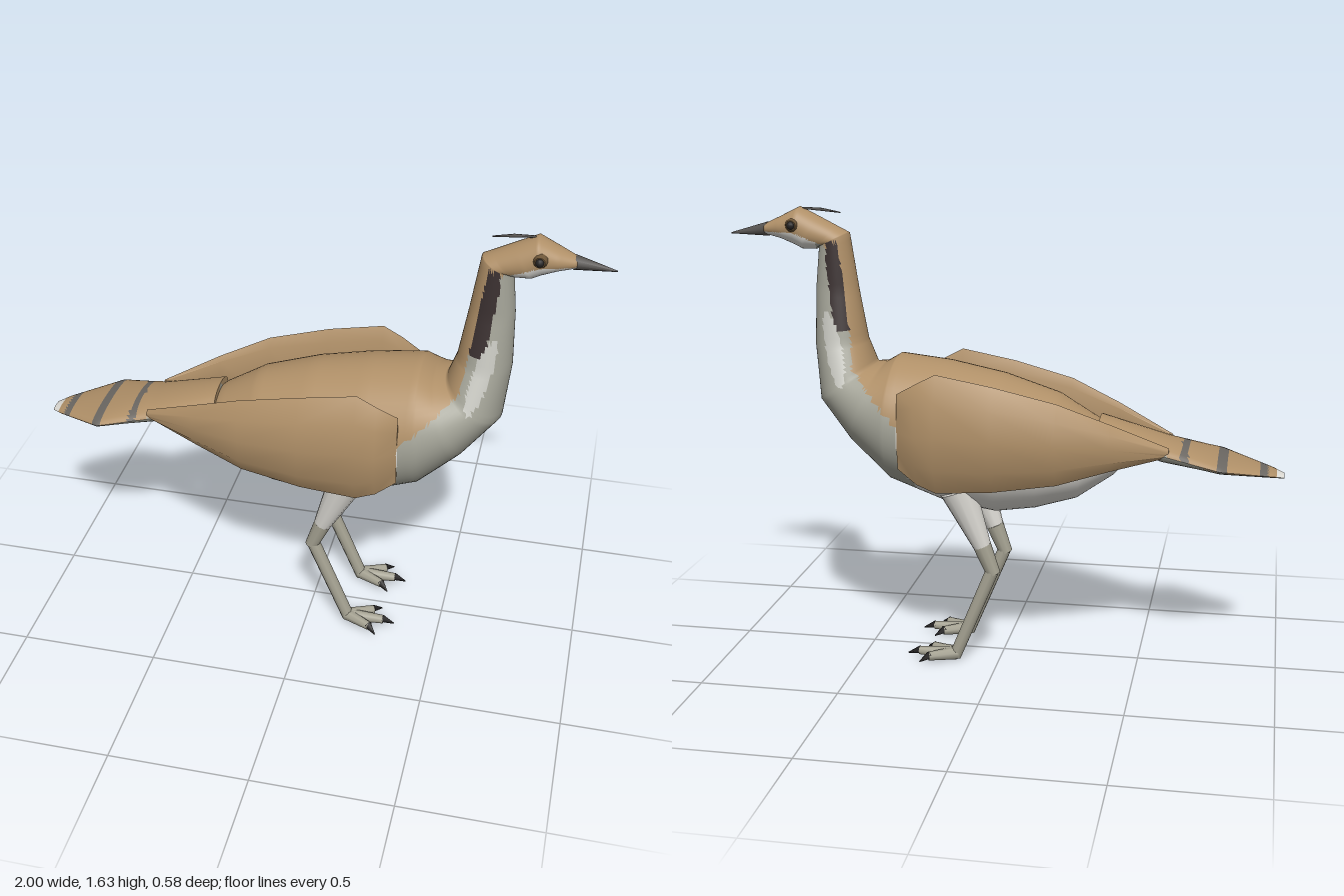
import * as THREE from 'three';
import { toCreasedNormals } from 'three/addons/utils/BufferGeometryUtils.js';

const mat = (name, color) => {
  const m = new THREE.MeshStandardMaterial({ color });
  m.name = name;
  return m;
};

// Skin over a list of closed rings, capped at both ends; pick(x, y, z) chooses each face's material
function loft(name, rings, mats, pick = () => 0, crease = 0) {
  const n = rings[0].length, pos = [], buckets = mats.map(() => []);
  rings.forEach(r => r.forEach(p => pos.push(...p)));
  const at = i => new THREE.Vector3().fromArray(pos, i * 3);
  const tris = [];
  for (let i = 0; i < rings.length - 1; i++) for (let j = 0; j < n; j++) {
    const a = i * n + j, b = i * n + (j + 1) % n, c = a + n, d = b + n;
    tris.push([a, b, c], [b, d, c]);
  }
  const last = (rings.length - 1) * n;
  for (let j = 1; j < n - 1; j++) tris.push([0, j + 1, j], [last, last + j, last + j + 1]);
  // outward winding from the signed volume
  let vol = 0;
  tris.forEach(t => { vol += at(t[0]).dot(at(t[1]).cross(at(t[2]))); });
  tris.forEach(t => {
    const c = at(t[0]).add(at(t[1])).add(at(t[2])).divideScalar(3);
    buckets[pick(c.x, c.y, c.z)].push(...(vol > 0 ? t : [t[0], t[2], t[1]]));
  });
  let g = new THREE.BufferGeometry();
  g.setAttribute('position', new THREE.Float32BufferAttribute(pos, 3));
  g.setIndex(buckets.flat());
  let start = 0;
  buckets.forEach((b, k) => { if (b.length) g.addGroup(start, b.length, k); start += b.length; });
  if (crease) g = toCreasedNormals(g, crease);
  else g.computeVertexNormals();
  const mesh = new THREE.Mesh(g, mats);
  mesh.name = name;
  return mesh;
}

// Oval ring from its top point, bottom point and half width
const oval = ([tx, ty, bx, by, w], n) => Array.from({ length: n }, (_, j) => {
  const a = j / n * Math.PI * 2, c = Math.cos(a);
  return [(tx + bx) / 2 + (tx - bx) / 2 * c, (ty + by) / 2 + (ty - by) / 2 * c, w * Math.sin(a)];
});

// Straight subdivision between sections
function subdivide(sections, k) {
  const out = [];
  for (let i = 0; i < sections.length - 1; i++) for (let s = 0; s < k; s++)
    out.push(sections[i].map((v, q) => v + (sections[i + 1][q] - v) * s / k));
  out.push(sections[sections.length - 1]);
  return out;
}

// Tapered round piece between two points
function limb(name, a, b, ra, rb, material, sides = 10) {
  const A = new THREE.Vector3(...a), B = new THREE.Vector3(...b);
  const d = B.clone().sub(A);
  const m = new THREE.Mesh(new THREE.CylinderGeometry(rb, ra, d.length(), sides), material);
  m.position.copy(A).add(B).multiplyScalar(0.5);
  m.quaternion.setFromUnitVectors(new THREE.Vector3(0, 1, 0), d.normalize());
  m.name = name;
  return m;
}

export function createModel() {
  const bird = new THREE.Group();
  bird.name = 'bird';
  const tan = mat('tan plumage', 0xb09068), grey = mat('grey plumage', 0xa4a498);
  const white = mat('white belly', 0xdedcd6), dark = mat('dark neck stripe', 0x3a3030);
  const pale = mat('pale neck patch', 0xc9c9c2), beakMat = mat('beak grey', 0x55524f);
  const band = mat('tail band', 0x6b6762), legMat = mat('leg', 0xa5a292);
  const black = mat('claw black', 0x262424), eyeBrown = mat('eye rim', 0x6e5638);

  // Body, neck and head in one skin
  const bodySections = [
    [-0.44, 0.79, -0.44, 0.75, 0.02], [-0.42, 0.84, -0.40, 0.71, 0.09],
    [-0.34, 0.91, -0.27, 0.62, 0.165], [-0.2, 0.995, -0.12, 0.575, 0.205],
    [0, 1.06, 0.02, 0.555, 0.23], [0.2, 1.1, 0.2, 0.585, 0.245],
    [0.38, 1.12, 0.4, 0.66, 0.238], [0.43, 1.09, 0.55, 0.8, 0.205],
    [0.47, 1.085, 0.67, 0.95, 0.155], [0.5, 1.17, 0.69, 1.15, 0.105],
    [0.53, 1.35, 0.685, 1.35, 0.072], [0.56, 1.55, 0.67, 1.5, 0.06],
    [0.6, 1.57, 0.68, 1.49, 0.06], [0.67, 1.605, 0.73, 1.49, 0.066],
    [0.74, 1.64, 0.76, 1.505, 0.065], [0.81, 1.605, 0.81, 1.525, 0.05],
    [0.87, 1.577, 0.87, 1.54, 0.025]
  ];
  const plumage = (x, y) => {
    if (y > 1.48 && x > 0.63) { // head: tan cap, pale cheek
      const line = x < 0.75 ? 1.51 + (x - 0.65) * 0.4 : 1.55;
      return y > line ? 0 : x > 0.67 ? 2 : 1;
    }
    if (y > 1.0 && x > 0.5) {
      const edge = 0.545 + (y - 1.2) * 0.14;
      const px = x - 0.595 - (y - 1.14) * 0.25;
      if ((px / 0.032) ** 2 + ((y - 1.145) / 0.13) ** 2 < 1) return 4;
      if (y > 1.21 && y < 1.52 && x > edge && x < edge + 0.052) return 3;
      if (y > 1.12) return x < edge + (y > 1.52 ? 0.06 : 0) ? 0 : 1;
    }
    if (y > 0.8 && x < Math.min(0.38 + (y - 0.94) * 1.1, 0.53)) return 0;
    return x > 0.3 + (y - 0.65) * 0.2 ? 1 : 2;
  };
  bird.add(loft('body, neck and head', subdivide(bodySections, 8).map(s => oval(s, 56)),
    [tan, grey, white, dark, pale], plumage));

  // Tail fan with bands, grey underside and white tip
  const tailSections = [
    [-0.35, 0.925, -0.35, 0.84, 0.09], [-0.6, 0.85, -0.57, 0.772, 0.122],
    [-0.78, 0.802, -0.78, 0.75, 0.16], [-0.96, 0.752, -0.96, 0.73, 0.06],
    [-1, 0.737, -1, 0.725, 0.03]
  ];
  const tailColour = (x, y) => {
    if (x < -0.972) return 3;
    const under = y < 0.79 + (x + 0.69) * (x > -0.6 ? 0.26 : 0.2);
    if (under) return 1;
    return [-0.655, -0.785, -0.93].some(b => Math.abs(x - b) < 0.014) ? 2 : 0;
  };
  bird.add(loft('tail', subdivide(tailSections, 16).map(s => oval(s, 24)),
    [tan, grey, band, white], tailColour, 0.7));

  // Folded wings: x, top y, bottom y, outer z, inner z
  const wingSections = [
    [-0.6, 0.838, 0.805, 0.115, 0.1], [-0.4, 0.93, 0.762, 0.2, 0.16],
    [-0.22, 1.005, 0.715, 0.26, 0.2], [0, 1.06, 0.685, 0.29, 0.215],
    [0.2, 1.097, 0.672, 0.29, 0.22], [0.27, 1.06, 0.7, 0.282, 0.222],
    [0.34, 1.02, 0.75, 0.237, 0.222]
  ];
  for (const s of [1, -1]) {
    const rings = wingSections.map(([x, t, b, zo, zi]) => {
      const h = t - b, m = zi + (zo - zi) * 0.3;
      return [[x, t, s * m], [x, t - h * 0.2, s * zo], [x, t - h * 0.5, s * (zo + 0.002)],
        [x, b + h * 0.22, s * zo], [x, b, s * m], [x, b + h * 0.1, s * zi],
        [x, t - h * 0.12, s * zi]];
    });
    bird.add(loft(s > 0 ? 'leftWing' : 'rightWing', rings, [tan], undefined, 0.75));
  }

  // Beak and crest feather
  bird.add(limb('beak', [0.86, 1.558, 0], [1, 1.54, 0], 0.026, 0.002, beakMat, 10));
  bird.add(limb('crestFeather', [0.73, 1.634, 0], [0.66, 1.63, 0], 0.004, 0.006, beakMat, 6));
  bird.add(limb('crestFeatherTip', [0.66, 1.63, 0], [0.59, 1.62, 0], 0.006, 0.002, beakMat, 6));

  // Eyes and legs on both sides
  for (const s of [1, -1]) {
    const z = s * 0.125;
    bird.add(limb('eyeRim', [0.753, 1.577, s * 0.055], [0.753, 1.578, s * 0.074], 0.026, 0.018, eyeBrown, 12));
    const eye = new THREE.Mesh(new THREE.SphereGeometry(0.015, 12, 8), black);
    eye.position.set(0.753, 1.578, s * 0.071);
    eye.name = 'eye';
    bird.add(eye);

    const leg = new THREE.Group();
    leg.name = s > 0 ? 'leftLeg' : 'rightLeg';
    leg.add(
      limb('thigh', [0.145, 0.66, s * 0.132], [0.058, 0.45, z], 0.066, 0.033, white, 12),
      limb('shin', [0.058, 0.45, z], [0.016, 0.345, z], 0.033, 0.025, legMat),
      limb('shank', [0.02, 0.36, z], [0.16, 0.02, s * 0.127], 0.025, 0.023, legMat)
    );
    // Three toes with claws
    for (const [dx, dz] of [[0.13, 0], [0.085, 0.05], [0.085, -0.05]]) {
      const z0 = s * 0.127, k = 1.32;
      leg.add(
        limb('toe', [0.155, 0.03, z0], [0.165 + dx, 0.03, z0 + dz], 0.024, 0.016, legMat, 8),
        limb('claw', [0.16 + dx, 0.034, z0 + dz * 0.95], [0.165 + dx * k, 0.018, z0 + dz * 1.55], 0.015, 0.002, black, 6)
      );
    }
    bird.add(leg);
  }
  return bird;
}
